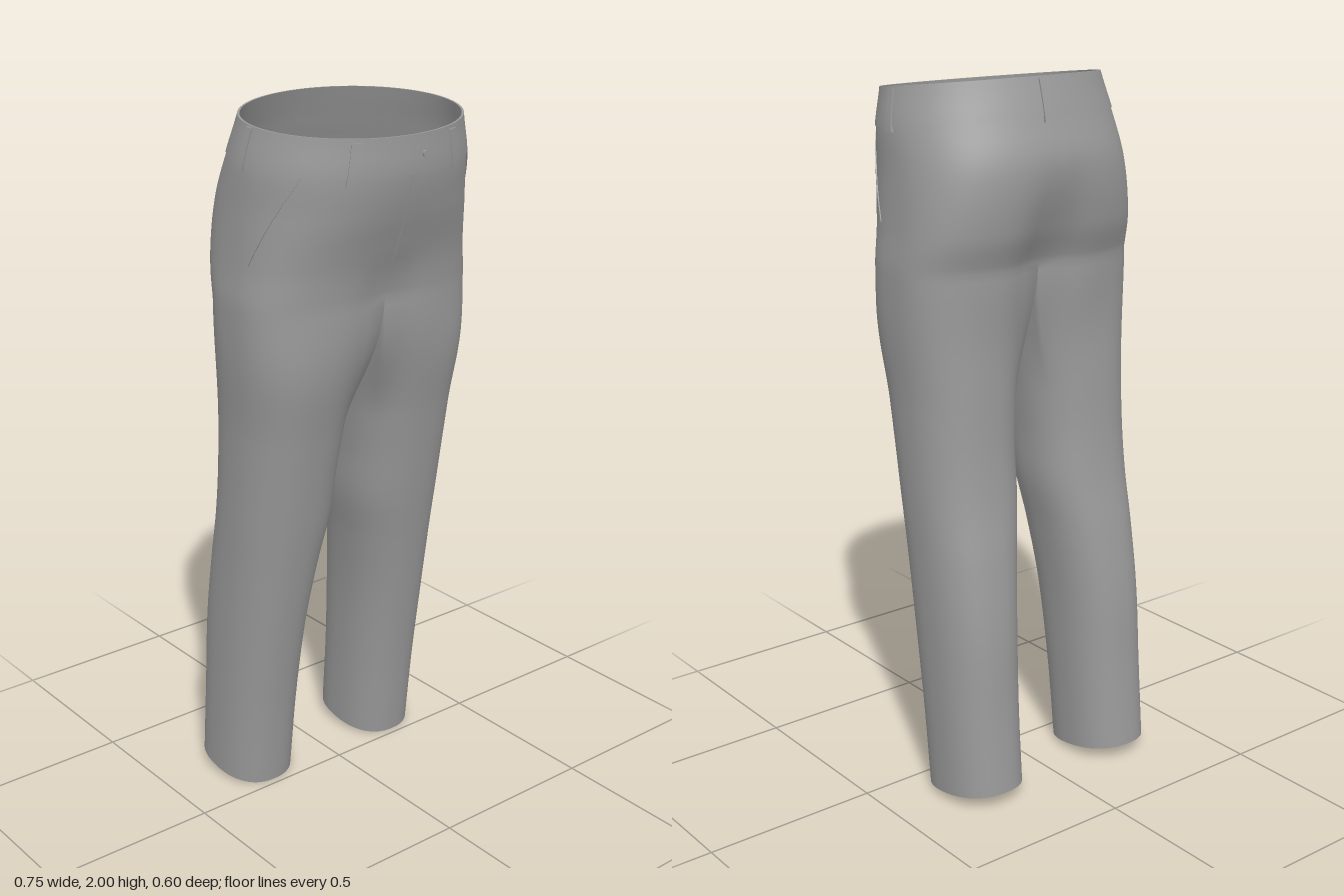
import * as THREE from 'three';
import { mergeVertices } from 'three/addons/utils/BufferGeometryUtils.js';

// Silhouette keys from waist to hem: y, outer x, inner x, front z, back z
const KEYS = [
  [1.972, 0.325, 0, 0.292, -0.180],
  [1.87, 0.347, 0, 0.293, -0.212],
  [1.75, 0.355, 0, 0.270, -0.246],
  [1.60, 0.366, 0, 0.226, -0.228],
  [1.50, 0.376, 0.004, 0.211, -0.195],
  [1.40, 0.371, 0.010, 0.204, -0.177],
  [1.20, 0.360, 0.024, 0.167, -0.180],
  [1.00, 0.354, 0.042, 0.132, -0.190],
  [0.85, 0.352, 0.050, 0.107, -0.208],
  [0.70, 0.350, 0.076, 0.080, -0.236],
  [0.50, 0.349, 0.100, 0.046, -0.264],
  [0.25, 0.347, 0.111, 0.008, -0.280],
  [0.00, 0.345, 0.116, -0.020, -0.300],
];
const CROTCH = 1.5;
const { smoothstep, lerp } = THREE.MathUtils;
const pow = (v, e) => Math.sign(v) * Math.abs(v) ** e;

// Smooth interpolation through the keys
function profile(y) {
  let i = 0;
  while (i < KEYS.length - 2 && y < KEYS[i + 1][0]) i++;
  const a = KEYS[i], b = KEYS[i + 1];
  const p = KEYS[Math.max(i - 1, 0)], n = KEYS[Math.min(i + 2, KEYS.length - 1)];
  const h = b[0] - a[0], s = (y - a[0]) / h;
  return [1, 2, 3, 4].map((c) => {
    const m0 = (b[c] - p[c]) / (b[0] - p[0]) * h, m1 = (n[c] - a[c]) / (n[0] - a[0]) * h;
    return (2 * s ** 3 - 3 * s * s + 1) * a[c] + (s ** 3 - 2 * s * s + s) * m0
      + (3 * s * s - 2 * s ** 3) * b[c] + (s ** 3 - s * s) * m1;
  });
}

// Point on the seat: t = 0 front, PI/2 left side, PI back
function hipPoint(t, y, off = 0) {
  const [outer, , front, back] = profile(y);
  const e = lerp(0.72, 1, smoothstep(y, 1.55, 1.95));
  const c = (front + back) / 2, b = (front - back) / 2;
  const x = outer * pow(Math.sin(t), e);
  let z = b * pow(Math.cos(t), e);
  // Centre seam sinks in towards the crotch, more at the back
  const dent = z > 0 ? 0.10 * (1 - smoothstep(y, 1.47, 1.65)) : 0.26 * (1 - smoothstep(y, 1.45, 1.8));
  z = c + z * (1 - dent * Math.exp(-((x / 0.09) ** 2)));
  const tilt = (0.055 - z) * 0.11 * smoothstep(y, 1.6, 1.9);
  return new THREE.Vector3(x + off * Math.sin(t), y + tilt, z + off * Math.cos(t));
}

// Point on a leg: a = 0 front, PI/2 outer side
function legPoint(a, y) {
  const [outer, inner, front, back] = profile(y);
  const cz = (front + back) / 2;
  const x = (outer + inner) / 2 + (outer - inner) / 2 * pow(Math.sin(a), 0.86);
  const z = cz + (front - back) / 2 * pow(Math.cos(a), 0.86);
  const hem = Math.max(0, 1 - y / 0.5) * (0.022 + (cz - z) * 0.15);
  return new THREE.Vector3(x, y + hem, z);
}

// Seat and both legs as one smooth cloth surface
function clothGeometry() {
  const K = 44, M = 16, pos = [], idx = [];
  const loft = (rows, side) => {
    const n = rows[0].length, start = pos.length / 3;
    rows.forEach((row) => row.forEach((p) => pos.push(side * p.x, p.y, p.z)));
    for (let r = 0; r < rows.length - 1; r++) {
      for (let j = 0; j < n - 1; j++) {
        const a = start + r * n + j, b = a + n, c = b + 1, d = a + 1;
        if (side > 0) idx.push(a, b, c, a, c, d);
        else idx.push(a, c, b, a, d, c);
      }
    }
  };

  const hipRows = [];
  for (let r = 0; r <= 26; r++) {
    const y = lerp(1.965, CROTCH, r / 26);
    hipRows.push(Array.from({ length: K + 1 }, (_, j) => hipPoint(j / K * Math.PI, y)));
  }

  // Crotch ring: outer half of the seat plus the seam under the crotch
  const ring = hipRows[26].map((p) => p.clone());
  const f = ring[0], b = ring[K];
  for (let j = 1; j <= M; j++) {
    const s = j / M;
    ring.push(new THREE.Vector3(0, CROTCH - 0.06 * Math.sin(s * Math.PI), lerp(b.z, f.z, s)));
  }

  const open = 0.9;
  const angle = (j) => j <= K
    ? -open + j / K * (Math.PI + 2 * open)
    : Math.PI + open + (j - K) / M * (Math.PI - 2 * open);
  const legRows = [];
  for (let r = 0; r <= 64; r++) {
    const y = CROTCH * (1 - r / 64);
    const w = 1 - smoothstep(y, 1.12, CROTCH);
    legRows.push(ring.map((p, j) => {
      const q = p.clone();
      q.y += y - CROTCH;
      return q.lerp(legPoint(angle(j), y), w);
    }));
  }

  for (const side of [1, -1]) {
    loft(hipRows, side);
    loft(legRows, side);
  }
  const g = new THREE.BufferGeometry();
  g.setAttribute('position', new THREE.Float32BufferAttribute(pos, 3));
  g.setIndex(idx);
  const merged = mergeVertices(g, 1e-4);
  merged.computeVertexNormals();
  return merged;
}

// Thin strip wrapped on the seat; slant shifts t from bottom to top
function stripGeometry(t0, t1, y0, y1, d0, d1, segs, slant = 0) {
  const g = new THREE.BoxGeometry(1, 1, 1, segs, 10, 1);
  const p = g.attributes.position;
  for (let i = 0; i < p.count; i++) {
    const v = p.getY(i) + 0.5;
    const t = lerp(t0, t1, p.getX(i) + 0.5) + slant * v;
    const q = hipPoint(t, lerp(y0, y1, v), lerp(d0, d1, p.getZ(i) + 0.5));
    p.setXYZ(i, q.x, q.y, q.z);
  }
  g.computeVertexNormals();
  return g;
}

export function createModel() {
  const group = new THREE.Group();
  group.name = 'trousers';
  const cloth = new THREE.MeshStandardMaterial({ color: 0x999999, side: THREE.DoubleSide });
  cloth.name = 'grey cloth';
  const add = (name, geometry) => {
    const mesh = new THREE.Mesh(geometry, cloth);
    mesh.name = name;
    group.add(mesh);
    return mesh;
  };

  add('seatAndLegs', clothGeometry());
  add('waistband', stripGeometry(-Math.PI, Math.PI, 1.87, 1.972, -0.003, 0.003, 120));

  // Belt loops: two front, two side, one back
  const loop = (name, t, y0, y1) => add(name, stripGeometry(t - 0.045, t + 0.045, y0, y1, 0, 0.008, 2));
  for (const [side, label] of [[1, 'left'], [-1, 'right']]) {
    loop(label + 'FrontBeltLoop', side * 0.5, 1.853, 1.962);
    loop(label + 'SideBeltLoop', side * 1.58, 1.855, 1.968);
    // Slanted pocket edge
    const a = side * 1.36;
    add(label + 'PocketEdge', stripGeometry(a - 0.012, a + 0.012, 1.62, 1.87, -0.001, 0.003, 1, side * -0.43));
  }
  loop('backBeltLoop', Math.PI - 0.06, 1.855, 1.966);

  // Fly flap and waist button
  add('fly', stripGeometry(0, 0.07, 1.6, 1.87, -0.002, 0.003, 4));
  const button = add('button', new THREE.CylinderGeometry(0.008, 0.008, 0.006, 16));
  button.rotation.x = Math.PI / 2;
  button.position.copy(hipPoint(0.12, 1.92, 0.005));
  return group;
}
